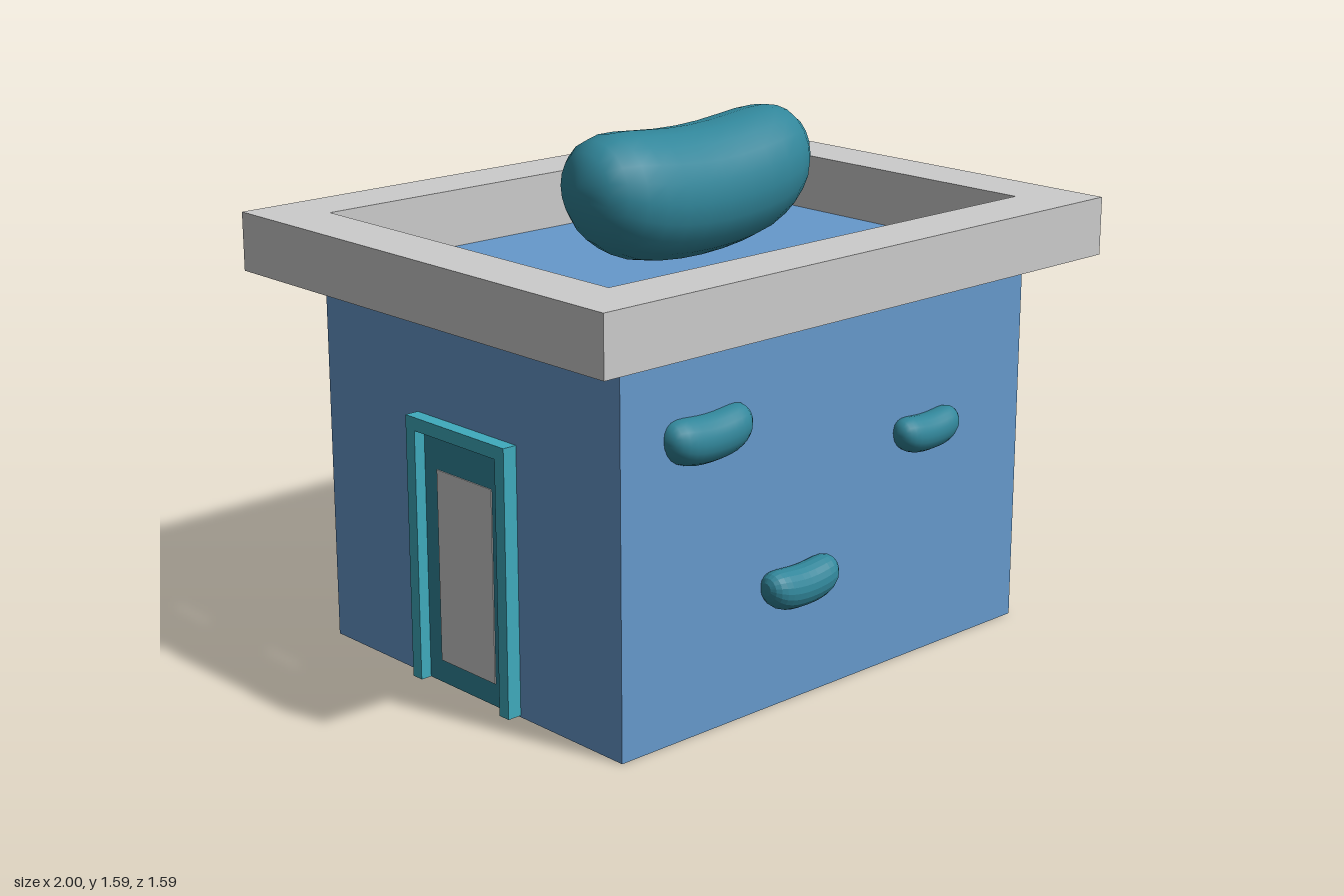
import * as THREE from 'three';
import { mergeVertices } from 'three/addons/utils/BufferGeometryUtils.js';

const mat = (name, color) => Object.assign(new THREE.MeshStandardMaterial({ color }), { name });

// Kidney bean, centred, long axis on x, bent upward at both ends
function beanGeometry(length) {
  let g = new THREE.SphereGeometry(1, 20, 16).rotateZ(Math.PI / 2);
  g.deleteAttribute('uv');
  g.deleteAttribute('normal');
  g = mergeVertices(g, 1e-4);
  const p = g.attributes.position;
  for (let i = 0; i < p.count; i++) {
    const t = THREE.MathUtils.clamp(p.getX(i), -1, 1);
    const ring = Math.sqrt(Math.max(1 - t * t, 1e-9));
    const r = Math.sqrt(Math.max(1 - Math.abs(t) ** 5, 0)) / ring;
    const bend = 0.075 * t * t + 0.008 * t;
    p.setXYZ(i, t * 0.445, p.getY(i) * r * 0.197 + bend, p.getZ(i) * r * 0.187);
  }
  g.scale(length / 0.89, length / 0.89, length / 0.89);
  g.computeVertexNormals();
  return g;
}

export function createModel() {
  const model = new THREE.Group();
  const wall = mat('wallBlue', 0x6699cc);
  const stone = mat('lightGrey', 0xcccccc);
  const teal = mat('darkTeal', 0x31869a);
  const trim = mat('brightTeal', 0x3fabbd);
  const facetedTeal = teal.clone();
  facetedTeal.flatShading = true;

  const add = (name, geometry, material, x, y, z, parent = model) => {
    const m = new THREE.Mesh(geometry, material);
    m.name = name;
    m.position.set(x, y, z);
    parent.add(m);
    return m;
  };
  const box = (w, h, d) => new THREE.BoxGeometry(w, h, d);

  // Building body; its top is the roof floor
  add('walls', box(1.632, 1.155, 1.3), wall, 0, 0.5775, 0);

  // Overhanging parapet with a rectangular opening
  const rect = (path, x, z) => path.moveTo(-x, -z).lineTo(x, -z).lineTo(x, z).lineTo(-x, z).closePath();
  const outline = rect(new THREE.Shape(), 1, 0.797);
  outline.holes.push(rect(new THREE.Path(), 0.818, 0.612));
  const parapet = new THREE.ExtrudeGeometry(outline, { depth: 0.177, bevelEnabled: false }).rotateX(-Math.PI / 2);
  add('parapet', parapet, stone, 0, 1.153, 0);

  // Large bean on the roof
  add('roofBean', beanGeometry(0.885), teal, 0.045, 1.367, 0);

  // Small beans set into the front wall: length, x, y, z
  [
    [0.31, -0.505, 0.864, 0.65, teal],
    [0.25, 0.375, 0.697, 0.667, teal],
    [0.275, -0.158, 0.356, 0.676, facetedTeal],
  ].forEach(([len, x, y, z, m], i) => add('wallBean' + (i + 1), beanGeometry(len), m, x, y, z));

  // Door on the -x side
  const door = new THREE.Group();
  door.name = 'door';
  model.add(door);
  for (const s of [-1, 1]) add('doorPost', box(0.05, 0.77, 0.04), trim, -0.836, 0.39, s * 0.2, door);
  add('doorLintel', box(0.05, 0.04, 0.44), trim, -0.836, 0.79, 0, door);
  add('doorSlab', box(0.02, 0.765, 0.36), teal, -0.816, 0.3875, 0, door);
  add('doorPanel', box(0.004, 0.585, 0.245), stone, -0.827, 0.3675, 0, door);

  return model;
}
